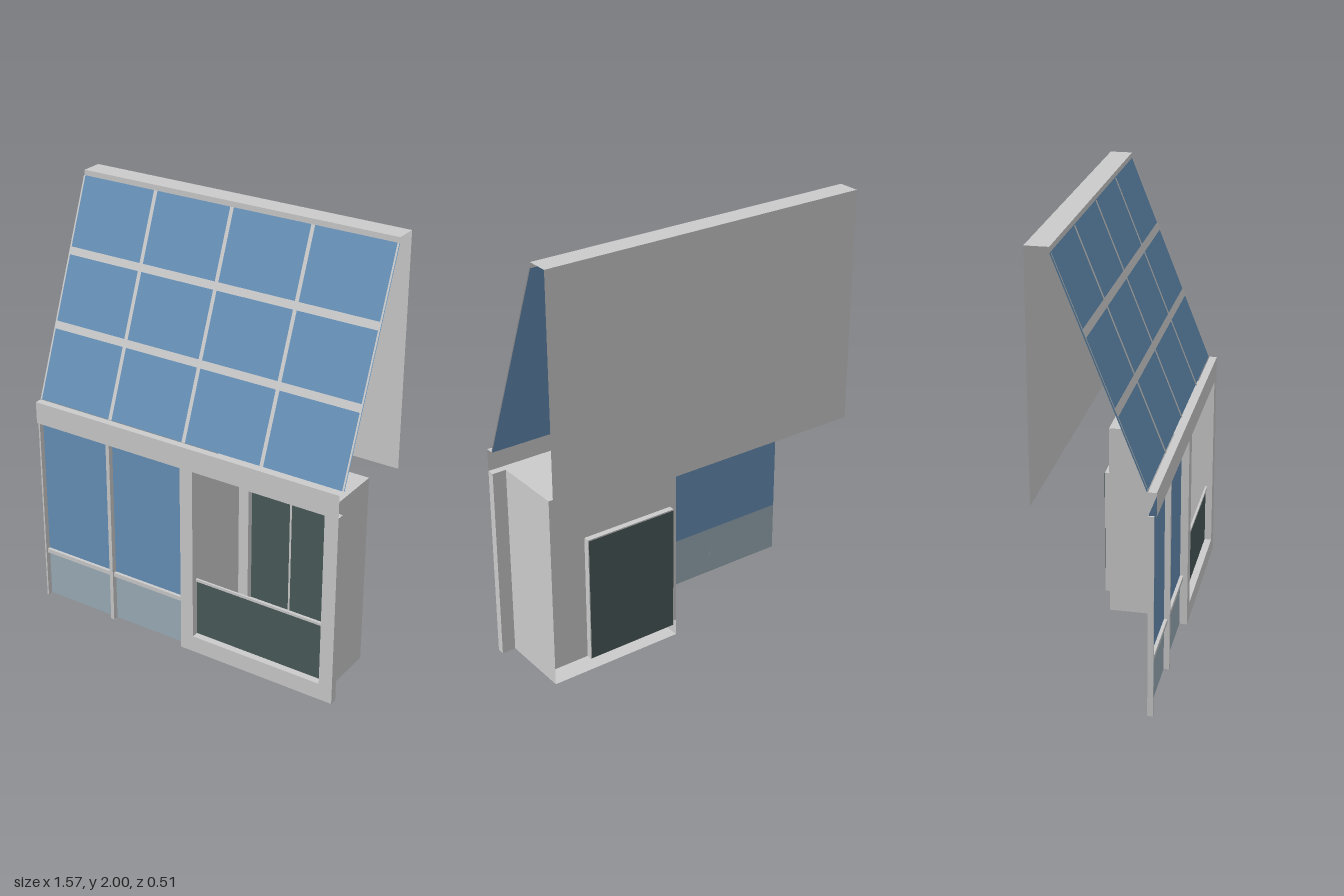
import * as THREE from 'three';

const material = (name, color) => {
  const m = new THREE.MeshStandardMaterial({ color, side: THREE.DoubleSide });
  m.name = name;
  return m;
};

export function createModel() {
  const model = new THREE.Group();
  const grey = material('light grey', 0xcbcbcb);
  const blue = material('blue glass', 0x6690b8);
  const pale = material('pale grey glass', 0x9badb8);
  const dark = material('dark green glass', 0x4a5a5a);

  const add = (name, geometry, mat, parent = model) => {
    const mesh = new THREE.Mesh(geometry, mat);
    mesh.name = name;
    parent.add(mesh);
    return mesh;
  };
  // Solid block given by its limits
  const block = (name, mat, x0, x1, y0, y1, z0, z1) =>
    add(name, new THREE.BoxGeometry(x1 - x0, y1 - y0, z1 - z0), mat)
      .position.set((x0 + x1) / 2, (y0 + y1) / 2, (z0 + z1) / 2);
  // Flat sheets facing z, y and x
  const sheetZ = (name, mat, x0, x1, y0, y1, z, parent) =>
    add(name, new THREE.PlaneGeometry(x1 - x0, y1 - y0), mat, parent)
      .position.set((x0 + x1) / 2, (y0 + y1) / 2, z);
  const sheetY = (name, mat, x0, x1, y, z0, z1) =>
    add(name, new THREE.PlaneGeometry(x1 - x0, z1 - z0).rotateX(-Math.PI / 2), mat)
      .position.set((x0 + x1) / 2, y, (z0 + z1) / 2);
  const sheetX = (name, mat, x, y0, y1, z0, z1) =>
    add(name, new THREE.PlaneGeometry(z1 - z0, y1 - y0).rotateY(Math.PI / 2), mat)
      .position.set(x, (y0 + y1) / 2, (z0 + z1) / 2);
  // Rectangular outline with a rectangular opening
  const ring = (x0, x1, y0, y1, a0, a1, b0, b1) => {
    const rect = (l, r, b, t) => [[l, b], [r, b], [r, t], [l, t]].map(p => new THREE.Vector2(...p));
    const shape = new THREE.Shape(rect(x0, x1, y0, y1));
    shape.holes.push(new THREE.Path(rect(a0, a1, b0, b1)));
    return shape;
  };

  const W = 0.785, FRONT = 0.255, GLASS = 0.22, BACK = -0.12;

  // Sloping glazed roof, built flat and leaned back
  const rise = 0.95, run = 0.375, slope = Math.hypot(rise, run);
  const roof = new THREE.Group();
  roof.name = 'glassRoof';
  roof.position.set(0, 1.025, 0.215);
  roof.rotation.x = -Math.atan2(run, rise);
  model.add(roof);
  sheetZ('roofGlass', blue, -W, W, 0, slope, 0, roof);
  for (const x of [-0.395, -0.003, 0.391]) sheetZ('roofBar', grey, x - 0.009, x + 0.009, 0, slope, 0.006, roof);
  for (const s of [-1, 1]) sheetZ('roofEdgeBar', grey, s * 0.781 - 0.004, s * 0.781 + 0.004, 0, slope, 0.006, roof);
  for (const y of [1.347, 1.661]) {
    const v = (y - 1.025) * slope / rise;
    sheetZ('roofCrossBar', grey, -W, W, v - 0.018, v + 0.018, 0.006, roof);
  }

  // Ridge cap and rear panel
  sheetZ('ridgeFront', grey, -W, W, 1.975, 2, -0.16);
  sheetY('ridgeTop', grey, -W, W, 2, -0.26, -0.16);
  sheetZ('rearPanel', grey, -W, W, 0.92, 2, -0.26);

  // Header beam above the front wall
  sheetZ('headerFront', grey, -W, W, 0.92, 1.025, FRONT);
  sheetY('headerTop', grey, -W, W, 1.025, GLASS, FRONT);

  // Glazed wall with posts and rail
  sheetZ('wallGlass', blue, -W, 0, 0.24, 0.92, GLASS);
  sheetZ('lowerWallPane', pale, -W, 0, 0, 0.24, GLASS);
  for (const [a, b] of [[-W, -0.777], [-0.405, -0.387]]) block('post', grey, a, b, 0, 0.92, GLASS, 0.245);
  block('wallRail', grey, -W, 0, 0.23, 0.25, GLASS, 0.235);

  // Front frame around the booth opening
  const frame = new THREE.Shape([
    [0, 0], [W, 0], [W, 0.92], [0.72, 0.92], [0.72, 0.08], [0.065, 0.08], [0.065, 0.92], [0, 0.92],
  ].map(p => new THREE.Vector2(...p)));
  add('boothFrame', new THREE.ExtrudeGeometry(frame, { depth: FRONT - GLASS, bevelEnabled: false }), grey)
    .position.z = GLASS;
  sheetZ('counterPanel', dark, 0.065, 0.72, 0.08, 0.36, 0.222);
  block('counterSill', grey, 0.065, 0.72, 0.358, 0.37, GLASS, 0.23);

  // Booth shell, open under the rear wall
  for (const x of [0.065, 0.72]) sheetX('boothSide', grey, x, 0, 0.92, BACK, GLASS);
  sheetY('boothTop', grey, 0.065, 0.72, 0.92, BACK, FRONT);
  sheetY('boothFloor', grey, 0.065, 0.72, 0, BACK, GLASS);
  add('boothRearWall', new THREE.ShapeGeometry(ring(0.065, 0.72, 0.08, 0.92, 0.105, 0.545, 0.0801, 0.68)), grey)
    .position.z = BACK;

  // Rear window projecting behind the booth
  add('windowFrame', new THREE.ExtrudeGeometry(ring(0.1, 0.55, 0.08, 0.685, 0.118, 0.534, 0.095, 0.67),
    { depth: 0.03, bevelEnabled: false }), grey).position.z = -0.148;
  sheetZ('windowGlass', dark, 0.103, 0.547, 0.083, 0.68, -0.15);
  sheetZ('windowMullion', grey, 0.321, 0.331, 0.09, 0.67, -0.144);

  return model;
}
